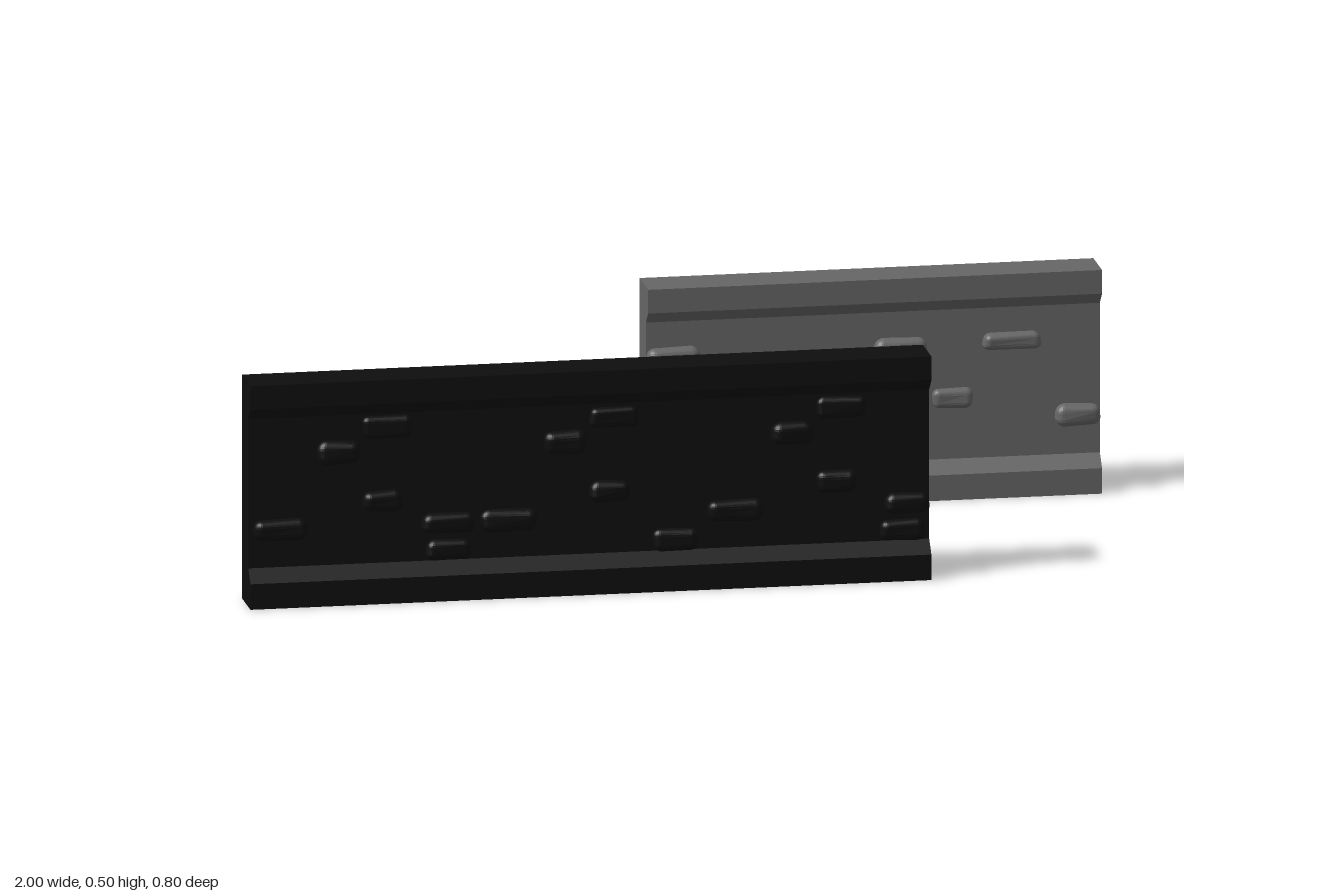
import * as THREE from 'three';
import { RoundedBoxGeometry } from 'three/addons/geometries/RoundedBoxGeometry.js';

const black = new THREE.MeshStandardMaterial({ color: 0x0e0e0e });
black.name = 'black stone';
const grey = new THREE.MeshStandardMaterial({ color: 0x666666 });
grey.name = 'grey stone';

// Wall slab with bevelled ledges along its foot and top, extruded along x
function slab(x0, x1, back, recess, front, material) {
  const profile = [
    [back, 0], [front, 0], [front, 0.057], [recess, 0.086],
    [recess, 0.42], [front, 0.447], [front, 0.5], [back, 0.5],
  ].map(([z, y]) => new THREE.Vector2(-z, y));
  const g = new THREE.ExtrudeGeometry(new THREE.Shape(profile), { depth: x1 - x0, bevelEnabled: false });
  g.rotateY(Math.PI / 2).translate(x0, 0, 0);
  return new THREE.Mesh(g, material);
}

// Worn brick, half sunk into the wall; the seed varies its outline
function brick(x0, x1, y0, y1, recess, rise, seed, material) {
  const w = x1 - x0, h = y1 - y0;
  const g = new RoundedBoxGeometry(w, h, rise * 2, 3, Math.min(rise * 0.75, h * 0.35));
  const p = g.attributes.position;
  for (let i = 0; i < p.count; i++) {
    const x = p.getX(i) / w, y = p.getY(i) / h, z = p.getZ(i);
    p.setX(i, p.getX(i) * (1 - 0.1 * Math.abs(y + 0.3 * Math.sin(seed))));
    p.setY(i, p.getY(i) * (0.93 + 0.07 * Math.sin(x * 7 + seed)));
    p.setZ(i, z * (0.93 + 0.07 * Math.cos(x * 5 + y * 3 + seed)));
  }
  g.computeVertexNormals();
  const m = new THREE.Mesh(g, material);
  m.position.set((x0 + x1) / 2, (y0 + y1) / 2, recess);
  return m;
}

function wall(name, x0, x1, back, recess, front, material, bricks) {
  const group = new THREE.Group();
  group.name = name;
  const body = slab(x0, x1, back, recess, front, material);
  body.name = name + 'Slab';
  group.add(body);
  bricks.forEach(([a, b, c, d, rise], i) => {
    const m = brick(a, b, c, d, recess, rise, i * 1.7, material);
    m.name = name + 'Brick' + (i + 1);
    group.add(m);
  });
  return group;
}

export function createModel() {
  const model = new THREE.Group();

  // Brick pattern repeats every half unit along the front wall
  const frontBricks = [[-0.99, -0.87, 0.145, 0.195, 0.025], [-0.62, -0.5, 0.145, 0.195, 0.025]];
  for (let i = 0; i < 3; i++) {
    const s = -1 + i * 0.5;
    frontBricks.push(
      [s + 0.15, s + 0.245, 0.31, 0.365, 0.026],
      [s + 0.25, s + 0.36, 0.365, 0.415, 0.018],
      [s + 0.25, s + 0.34, 0.2, 0.25, 0.025],
      [s + 0.39, s + 0.49, 0.085, 0.135, 0.021],
    );
    if (i < 2) frontBricks.push([s + 0.51, s + 0.635, 0.145, 0.195, 0.025]);
  }
  frontBricks.push([0.4, 0.5, 0.145, 0.195, 0.025]);
  model.add(wall('frontWall', -1, 0.5, 0.294, 0.372, 0.399, black, frontBricks));

  model.add(wall('rearWall', 0, 1, -0.399, -0.319, -0.292, grey, [
    [0, 0.12, 0.31, 0.365, 0.025],
    [0.15, 0.26, 0.2, 0.25, 0.019],
    [0.12, 0.2, 0.085, 0.135, 0.025],
    [0.25, 0.37, 0.14, 0.2, 0.026],
    [0.42, 0.495, 0.255, 0.295, 0.02],
    [0.5, 0.62, 0.31, 0.365, 0.025],
    [0.5, 0.615, 0.145, 0.2, 0.026],
    [0.63, 0.72, 0.2, 0.245, 0.019],
    [0.74, 0.87, 0.325, 0.367, 0.025],
    [0.9, 1, 0.148, 0.2, 0.026],
  ]));
  return model;
}
